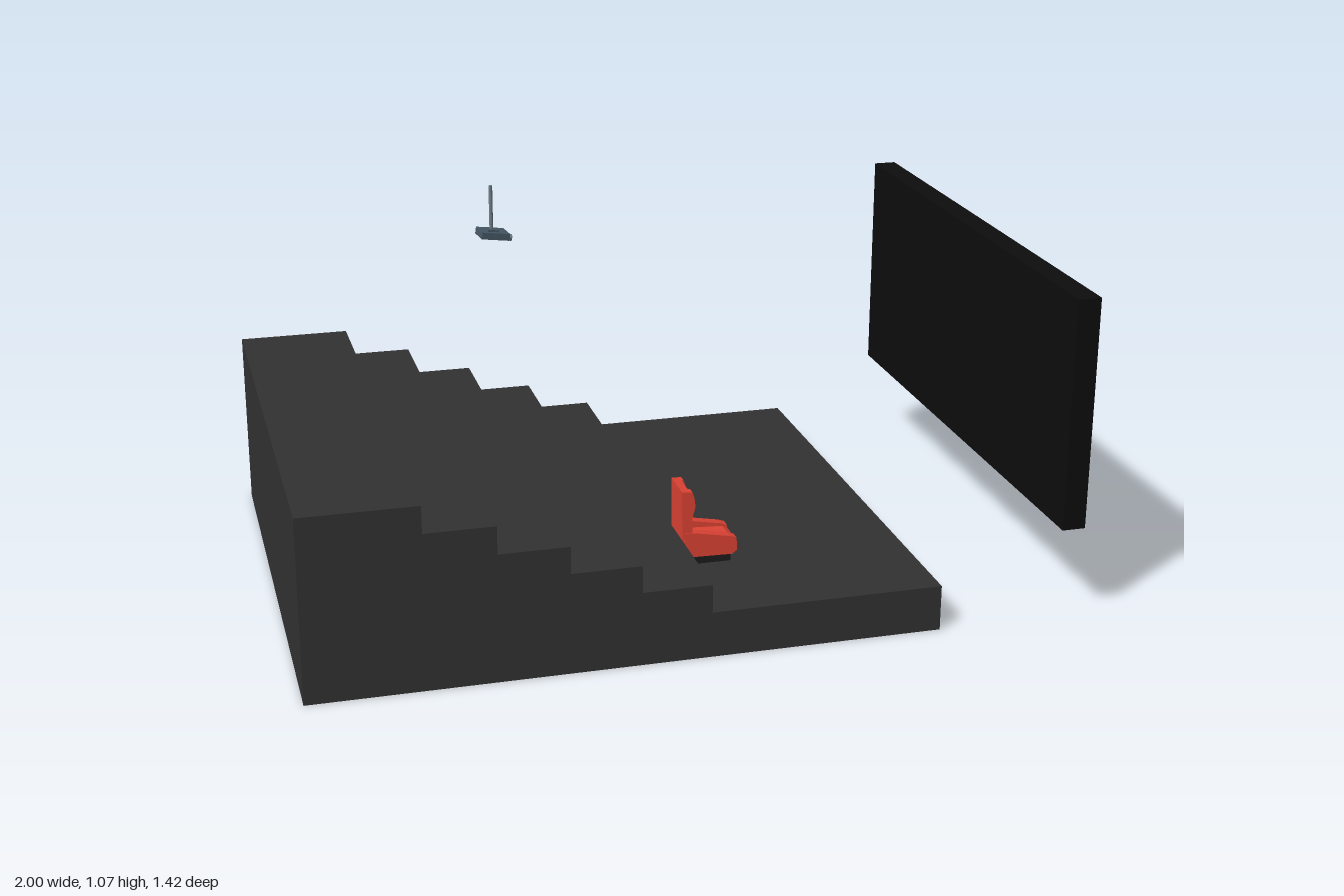
import * as THREE from 'three';

const mat = (color) => new THREE.MeshStandardMaterial({ color, flatShading: true });

// Extrude an x/y outline along z, centred on zMid
function slab(name, pts, width, zMid, material) {
  const shape = new THREE.Shape(pts.map(([x, y]) => new THREE.Vector2(x, y)));
  const geo = new THREE.ExtrudeGeometry(shape, { depth: width, bevelEnabled: false });
  geo.translate(0, 0, zMid - width / 2);
  const m = new THREE.Mesh(geo, material);
  m.name = name;
  return m;
}

function box(name, size, pos, material) {
  const m = new THREE.Mesh(new THREE.BoxGeometry(...size), material);
  m.name = name;
  m.position.set(...pos);
  return m;
}

function createSeat(red, black) {
  const seat = new THREE.Group();
  seat.name = 'seat';
  const z = 0.333;
  seat.add(box('seatBase', [0.12, 0.03, 0.1], [0.095, 0.135, z], black));
  // cushion and backrest in the middle
  seat.add(slab('cushion', [[0.024, 0.145], [0.158, 0.142], [0.17, 0.152], [0.17, 0.178],
    [0.155, 0.186], [0.045, 0.192], [0.024, 0.192]], 0.11, z, red));
  seat.add(slab('backrest', [[0.022, 0.17], [0.045, 0.17], [0.04, 0.24], [0.046, 0.28],
    [0.048, 0.31], [0.042, 0.327], [0.02, 0.33]], 0.1, z, red));
  for (const s of [-1, 1]) {
    // armrest and backrest side bolster
    seat.add(slab('armrest', [[0.03, 0.165], [0.168, 0.165], [0.168, 0.188],
      [0.15, 0.194], [0.06, 0.211], [0.03, 0.215]], 0.026, z + s * 0.043, red));
    seat.add(slab('backBolster', [[0.024, 0.19], [0.05, 0.2], [0.048, 0.25], [0.057, 0.285],
      [0.054, 0.31], [0.048, 0.327], [0.021, 0.329]], 0.022, z + s * 0.042, red));
  }
  return seat;
}

function createProjector() {
  const projector = new THREE.Group();
  projector.name = 'projector';
  const bodyMat = mat(0x465866), poleMat = mat(0x6f7d84);

  const pole = new THREE.Mesh(new THREE.CylinderGeometry(0.005, 0.005, 0.125, 12), poleMat);
  pole.name = 'ceilingPole';
  pole.position.set(-0.39, 1.0105, 0);
  projector.add(pole);

  // tilted housing with its lens and feet
  const head = new THREE.Group();
  head.name = 'projectorHead';
  head.position.set(-0.386, 0.943, -0.003);
  head.rotation.set(0, 0.1, -0.15);
  head.add(box('housing', [0.075, 0.018, 0.062], [0, 0, 0], bodyMat));
  head.add(box('mountPlate', [0.03, 0.006, 0.03], [-0.004, 0.011, 0.003], bodyMat));
  const lens = new THREE.Mesh(new THREE.CylinderGeometry(0.009, 0.009, 0.016, 16), poleMat);
  lens.name = 'lens';
  lens.rotation.z = Math.PI / 2;
  lens.position.set(0.038, -0.003, 0.017);
  head.add(lens);
  projector.add(head);
  return projector;
}

export function createModel() {
  const model = new THREE.Group();
  model.name = 'homeTheatre';
  const red = mat(0xe04335), black = mat(0x1c1c1c);

  // stepped seating platform
  const steps = [[-0.7, 0.487], [-0.52, 0.415], [-0.34, 0.341], [-0.16, 0.269], [0.02, 0.197], [0.63, 0.122]];
  const outline = [[-1, 0], [0.63, 0]];
  for (let i = steps.length - 1; i >= 0; i--) {
    const [x, y] = steps[i];
    outline.push([x, y], [i ? steps[i - 1][0] : -1, y]);
  }
  model.add(slab('steppedFloor', outline, 1.346, 0, mat(0x323232)));

  // wall screen
  model.add(box('screen', [0.062, 0.618, 1.42], [0.969, 0.567, 0], mat(0x0d0d0d)));

  model.add(createSeat(red, black), createProjector());
  return model;
}
